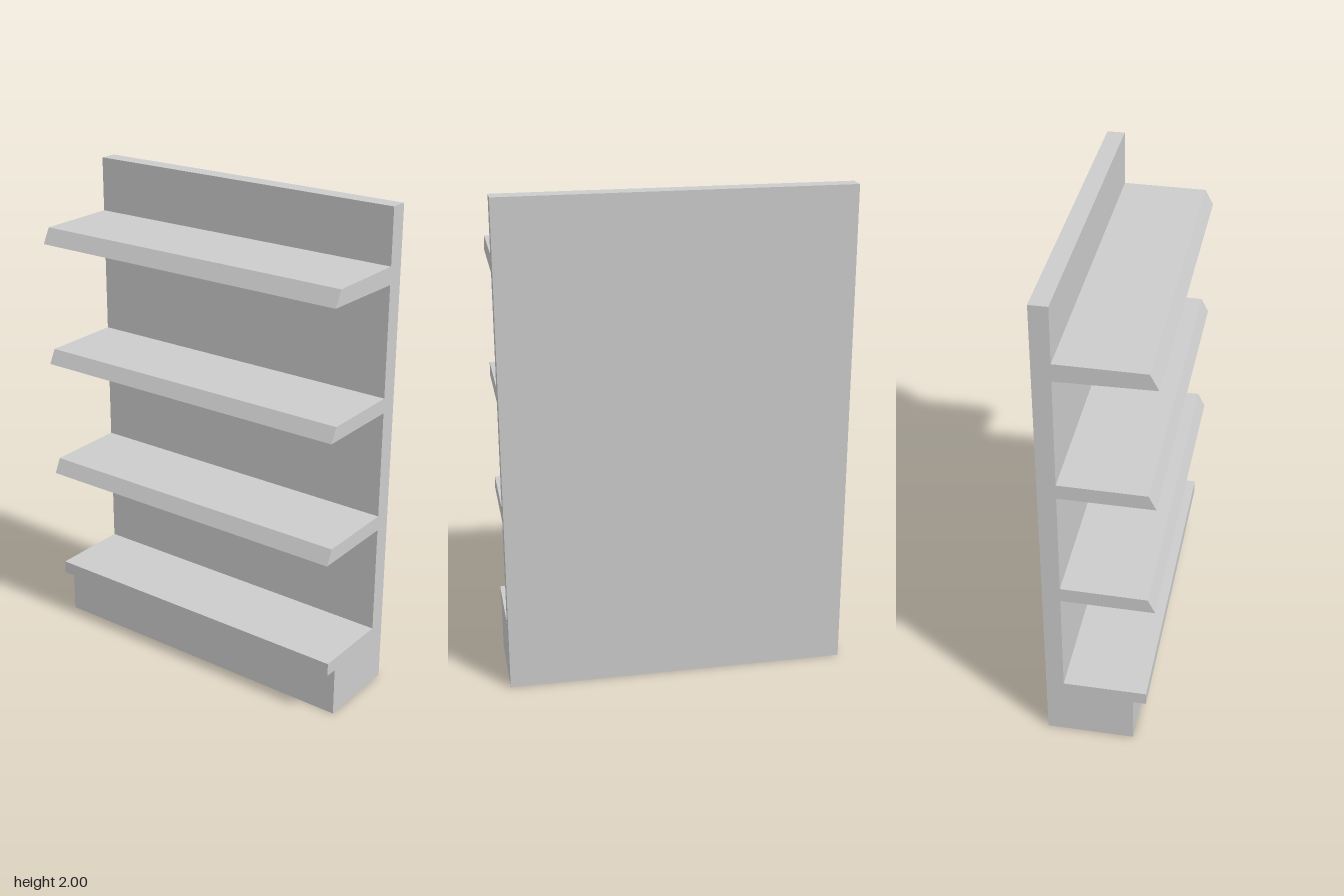
import * as THREE from 'three';

const WIDTH = 1.384;
const BACK = -0.22, WALL = -0.149; // rear and front faces of the back panel

const material = new THREE.MeshStandardMaterial({ color: 0xcccccc, flatShading: true });

// Sweep a side profile of [z, y] points across the full width
function sweep(name, points) {
  const shape = new THREE.Shape(points.map(([z, y]) => new THREE.Vector2(z, y)));
  const geometry = new THREE.ExtrudeGeometry(shape, { depth: WIDTH, bevelEnabled: false });
  geometry.translate(0, 0, -WIDTH / 2).rotateY(-Math.PI / 2);
  const mesh = new THREE.Mesh(geometry, material);
  mesh.name = name;
  return mesh;
}

export function createModel() {
  const group = new THREE.Group();
  group.name = 'shelvingUnit';

  // Upright back panel
  group.add(sweep('backPanel', [[BACK, 0], [WALL, 0], [WALL, 2], [BACK, 2]]));

  // Plinth and the overhanging base shelf on top of it
  group.add(sweep('plinth', [[WALL, 0], [0.132, 0], [0.132, 0.203], [WALL, 0.203]]));
  group.add(sweep('baseShelf', [[WALL, 0.203], [0.184, 0.203], [0.184, 0.257], [WALL, 0.257]]));

  // Three shelves with a sloping front edge: underside and top heights at front and back
  const shelves = [
    { name: 'lowerShelf', tip: 0.216, under: [0.701, 0.704], top: [0.761, 0.765] },
    { name: 'middleShelf', tip: 0.216, under: [1.2, 1.202], top: [1.258, 1.262] },
    { name: 'upperShelf', tip: 0.22, under: [1.713, 1.708], top: [1.775, 1.778] },
  ];
  for (const { name, tip, under, top } of shelves) {
    group.add(sweep(name, [[WALL, under[1]], [tip, under[0]], [0.187, top[0]], [WALL, top[1]]]));
  }
  return group;
}
